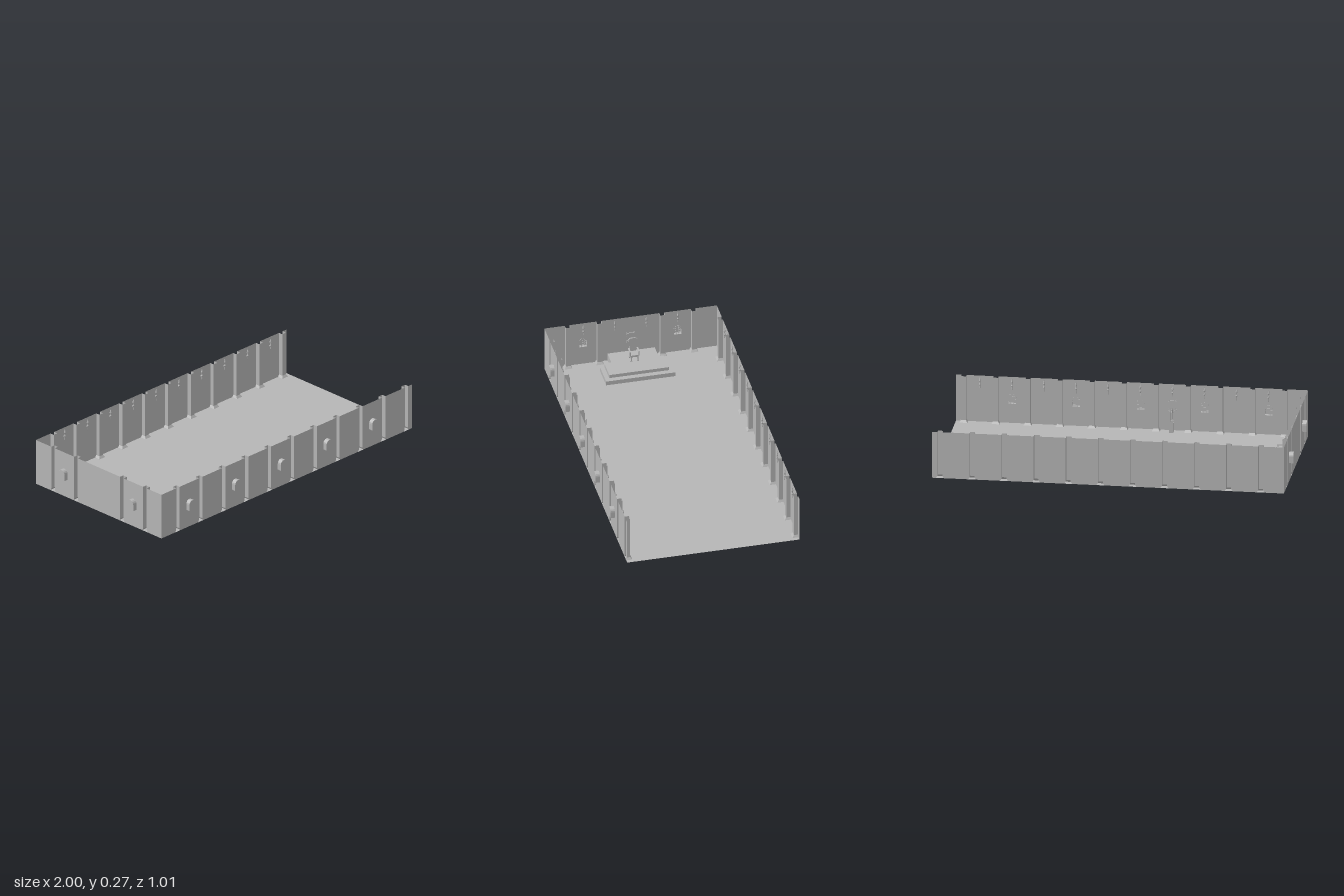
import * as THREE from 'three';

const H = 0.27;                       // wall height
const stone = new THREE.MeshStandardMaterial({ color: 0xb6b6b6, side: THREE.DoubleSide, flatShading: true });
stone.name = 'grey stone';

function add(parent, name, geo, x = 0, y = 0, z = 0) {
  const m = new THREE.Mesh(geo, stone);
  m.name = name;
  m.position.set(x, y, z);
  parent.add(m);
  return m;
}
const box = (w, h, d) => new THREE.BoxGeometry(w, h, d);
const vecs = pts => pts.map(p => new THREE.Vector2(p[0], p[1]));

// Quad strips joining successive rows of 3D points
function loft(rows) {
  const n = rows[0].length, idx = [];
  for (let r = 0; r < rows.length - 1; r++)
    for (let i = 0; i < n - 1; i++) {
      const a = r * n + i, b = a + n;
      idx.push(a, a + 1, b, a + 1, b + 1, b);
    }
  const g = new THREE.BufferGeometry();
  g.setAttribute('position', new THREE.Float32BufferAttribute(rows.flat(2), 3));
  g.setIndex(idx);
  g.computeVertexNormals();
  return g;
}
// Flat surface and upright riser from plan points [x, z]
const slab = pts => new THREE.ShapeGeometry(new THREE.Shape(vecs(pts.map(p => [p[0], -p[1]])))).rotateX(-Math.PI / 2);
const riser = (pts, y0, y1) => loft([y0, y1].map(y => pts.map(p => [p[0], y, p[1]])));

// Arched window outline around x = cx
function archPoints(cx, w = 0.024, y0 = 0.11, y1 = 0.146) {
  const pts = [[cx - w, y0], [cx + w, y0]];
  for (let i = 0; i <= 8; i++) {
    const a = Math.PI * i / 8;
    pts.push([cx + w * Math.cos(a), y1 + w * Math.sin(a)]);
  }
  return pts;
}

// Niche sunk behind the wall, with a lattice at its mouth
function addWindow(wall, cx) {
  const pts = archPoints(cx), loop = [...pts, pts[0]], g = new THREE.Group();
  g.name = 'window';
  wall.add(g);
  add(g, 'windowNiche', loft([0, -0.025].map(z => loop.map(p => [p[0], p[1], z]))));
  add(g, 'windowBack', new THREE.ShapeGeometry(new THREE.Shape(vecs(pts))), 0, 0, -0.025);
  const frame = new THREE.Shape(vecs(pts));
  frame.holes.push(new THREE.Path(vecs(archPoints(cx, 0.021, 0.113))));
  add(g, 'windowFrame', new THREE.ExtrudeGeometry(frame, { depth: 0.004, bevelEnabled: false }), 0, 0, -0.002);
  for (const s of [-1, 1]) add(g, 'windowBar', box(0.002, 0.055, 0.002), cx + s * 0.008, 0.139);
  for (const y of [0.125, 0.139, 0.153]) add(g, 'windowBar', box(0.042, 0.002, 0.002), cx, y);
}

// Wall torch: bracket, handle and flame
const torchGeo = new THREE.LatheGeometry(vecs([[0, 0.192], [0.002, 0.2], [0.002, 0.213], [0.006, 0.222],
  [0.003, 0.228], [0.003, 0.236], [0.006, 0.242], [0.0045, 0.25], [0, 0.265]]), 6);
function addTorch(wall, x) {
  add(wall, 'torch', torchGeo, x, 0, 0.009);
  add(wall, 'torchBracket', box(0.004, 0.006, 0.01), x, 0.218, 0.005);
}

// Heater shield with two crossed swords
function addEmblem(wall, x, y) {
  const g = new THREE.Group();
  g.name = 'wallEmblem';
  g.position.set(x, y, 0.003);
  wall.add(g);
  const s = new THREE.Shape();
  s.moveTo(-0.025, 0.024);
  s.quadraticCurveTo(0, 0.036, 0.025, 0.024);
  s.quadraticCurveTo(0.026, -0.01, 0, -0.03);
  s.quadraticCurveTo(-0.026, -0.01, -0.025, 0.024);
  add(g, 'shield', new THREE.ExtrudeGeometry(s, { depth: 0.004, bevelEnabled: false, curveSegments: 5 }));
  for (const k of [-1, 1]) {
    add(g, 'swordBlade', box(0.004, 0.085, 0.003)).rotation.z = k * 0.6;
    add(g, 'swordGuard', box(0.014, 0.003, 0.004), k * 0.017, -0.025).rotation.z = k * 0.6;
  }
}

// Wall in the local xy plane, inside facing +z: panels, hollow columns, windows, torches
function buildWall(name, x0, x1, columns, windows, torches) {
  const wall = new THREE.Group();
  wall.name = name;
  const hs = 0.014, hb = 0.022, yb = 0.013;     // shaft and base half widths, base height
  const cols = [...columns].sort((a, b) => a - b);
  const edges = [x0, ...cols, x1];
  for (let i = 0; i < edges.length - 1; i++) {
    const a = edges[i], b = edges[i + 1], l = i > 0 ? 1 : 0, r = i < cols.length ? 1 : 0;
    const shape = new THREE.Shape(vecs([[a + l * hb, 0], [b - r * hb, 0], [b - r * hs, yb],
      [b - r * hs, H], [a + l * hs, H], [a + l * hs, yb]]));
    for (const w of windows) if (w > a && w < b) shape.holes.push(new THREE.Path(vecs(archPoints(w))));
    add(wall, 'wallPanel', new THREE.ShapeGeometry(shape));
  }
  const rows = [[0, hb, 0.035], [yb, hs, 0.025], [H, hs, 0.025]];
  const colGeo = loft(rows.map(([y, w, d]) => [[-w, y, 0], [-w, y, d], [w, y, d], [w, y, 0]]));
  for (const c of cols) add(wall, 'column', colGeo, c);
  windows.forEach(w => addWindow(wall, w));
  torches.forEach(t => addTorch(wall, t));
  return wall;
}

// High-backed throne facing local +z
function buildThrone() {
  const g = new THREE.Group();
  g.name = 'throne';
  const back = new THREE.Shape(vecs([[-0.018, 0.035], [0.018, 0.035], [0.016, 0.08], [0.027, 0.1], [0.025, 0.117],
    [0.014, 0.125], [-0.014, 0.125], [-0.025, 0.117], [-0.027, 0.1], [-0.016, 0.08]]));
  add(g, 'throneBack', new THREE.ExtrudeGeometry(back, { depth: 0.007, bevelEnabled: false }), 0, 0, -0.028);
  add(g, 'throneSeat', box(0.044, 0.01, 0.05), 0, 0.035, 0);
  for (const s of [-1, 1]) {
    add(g, 'throneArm', box(0.008, 0.006, 0.046), s * 0.025, 0.06, 0.002);
    add(g, 'armPost', box(0.006, 0.026, 0.006), s * 0.025, 0.046, 0.02);
    for (const z of [-0.02, 0.02]) {
      add(g, 'throneLeg', new THREE.CylinderGeometry(0.005, 0.003, 0.03, 6), s * 0.018, 0.015, z);
      add(g, 'throneFoot', box(0.009, 0.005, 0.009), s * 0.019, 0.0025, z);
    }
  }
  return g;
}

// Open rack holding leaning spears
function buildSpearRack() {
  const g = new THREE.Group();
  g.name = 'spearRack';
  for (const s of [-1, 1]) {
    add(g, 'rackSide', box(0.024, 0.068, 0.004), 0, 0.034, s * 0.01);
    add(g, 'rackEnd', box(0.003, 0.05, 0.022), s * 0.011, 0.034, 0);
    const spear = new THREE.Group();
    spear.name = 'spear';
    spear.position.set(s * 0.005, 0.005, s * 0.004 + 0.004);
    spear.rotation.x = -0.14;
    add(spear, 'spearShaft', new THREE.CylinderGeometry(0.002, 0.002, 0.125, 6), 0, 0.063, 0);
    add(spear, 'spearHead', new THREE.ConeGeometry(0.007, 0.03, 4), 0, 0.134, 0);
    g.add(spear);
  }
  return g;
}

export function createModel() {
  const model = new THREE.Group();
  model.name = 'throneHall';
  const L = -0.975, R = 1, B = -0.505, F = 0.48;

  // Floor, notched where the dais stands, and the two-step dais
  const outer = [[L, -0.15], [-0.885, -0.15], [-0.885, -0.21], [-0.735, -0.21], [-0.735, 0.185], [-0.885, 0.185], [-0.885, 0.12], [L, 0.12]];
  const upper = [[L, -0.15], [-0.885, -0.15], [-0.885, -0.18], [-0.765, -0.18], [-0.765, 0.16], [-0.885, 0.16], [-0.885, 0.12], [L, 0.12]];
  add(model, 'floor', slab([[L, B], ...outer, [L, F], [R, F], [R, B]]));
  add(model, 'lowerRiser', riser(outer, 0, 0.025));
  add(model, 'lowerTread', slab([...outer.slice(2, 6), ...upper.slice(2, 6).reverse()]), 0, 0.025);
  add(model, 'upperRiser', riser(upper, 0.025, 0.045));
  add(model, 'daisTop', slab(upper), 0, 0.045);

  // Long walls and the wall behind the throne
  const cols = Array.from({ length: 11 }, (_, i) => -0.845 + 0.18 * i);
  const bays = cols.slice(0, 10).map(c => c + 0.09);
  const neg = a => a.map(v => -v);
  const back = buildWall('backWall', L, R, cols, [], bays);
  back.position.z = B;
  const front = buildWall('frontWall', -R, -L, neg(cols), neg(bays.filter((_, i) => i % 2 === 0 && i < 9)), neg(bays));
  front.position.z = F;
  front.rotation.y = Math.PI;
  addEmblem(front, 0.215, 0.145);
  const end = buildWall('throneWall', -F, -B, [-0.35, -0.17, 0.19, 0.37], [-0.26, 0.28], [-0.26, -0.08, 0.1, 0.28]);
  end.position.x = L;
  end.rotation.y = Math.PI / 2;
  addEmblem(end, 0.01, 0.138);
  model.add(back, front, end);

  // Furniture
  const throne = buildThrone();
  throne.position.set(-0.89, 0.045, -0.01);
  throne.rotation.y = Math.PI / 2;
  const rack = buildSpearRack();
  rack.position.set(-0.215, 0, 0.44);
  model.add(throne, rack);
  return model;
}
